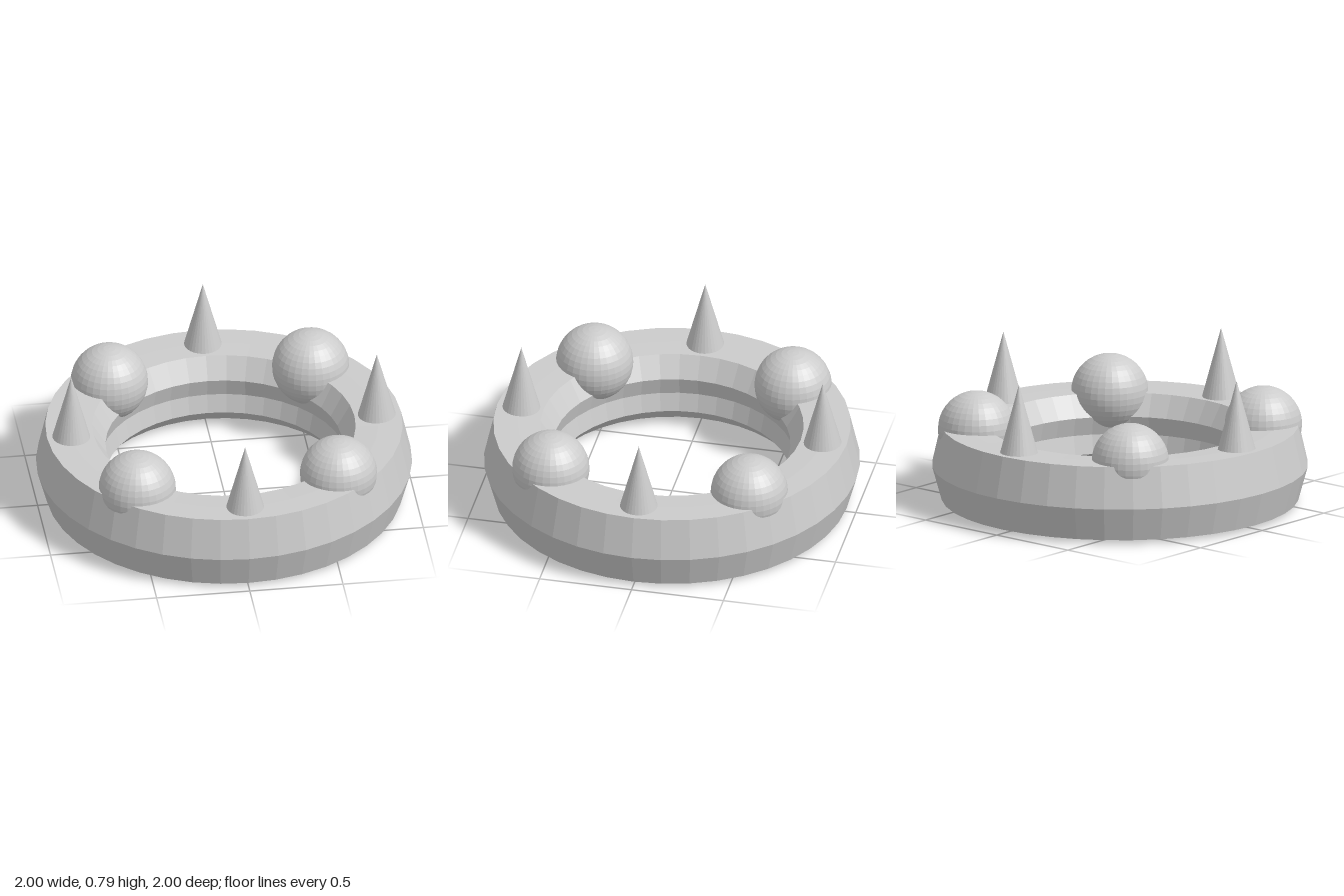
import * as THREE from 'three';

export function createModel() {
  const model = new THREE.Group();
  const material = new THREE.MeshStandardMaterial({ color: 0xcccccc, flatShading: true });

  const add = (name, geometry, x, y, z) => {
    const mesh = new THREE.Mesh(geometry, material);
    mesh.name = name;
    mesh.position.set(x, y, z);
    model.add(mesh);
  };

  // Ring band: flared outer wall, flat top, grooved inner wall, shallow underside
  const profile = [
    [0.95, 0.02], [1, 0.2], [0.95, 0.42],
    [0.82, 0.42], [0.7, 0.415],
    [0.63, 0.3], [0.655, 0.2], [0.63, 0.1],
    [0.7, 0.02], [0.82, 0], [0.95, 0.02],
  ].map(([r, y]) => new THREE.Vector2(r, y));
  add('ringBand', new THREE.LatheGeometry(profile, 40), 0, 0, 0);

  // Four spikes on the axes alternating with four round studs on the diagonals
  const spike = new THREE.ConeGeometry(0.108, 0.4, 32);
  const stud = new THREE.SphereGeometry(0.206, 32, 20);
  for (let i = 0; i < 4; i++) {
    const a = (i * Math.PI) / 2;
    const b = a + Math.PI / 4;
    add('spike', spike, 0.82 * Math.sin(a), 0.59, 0.82 * Math.cos(a));
    add('roundStud', stud, 0.764 * Math.sin(b), 0.405, 0.764 * Math.cos(b));
  }

  return model;
}
